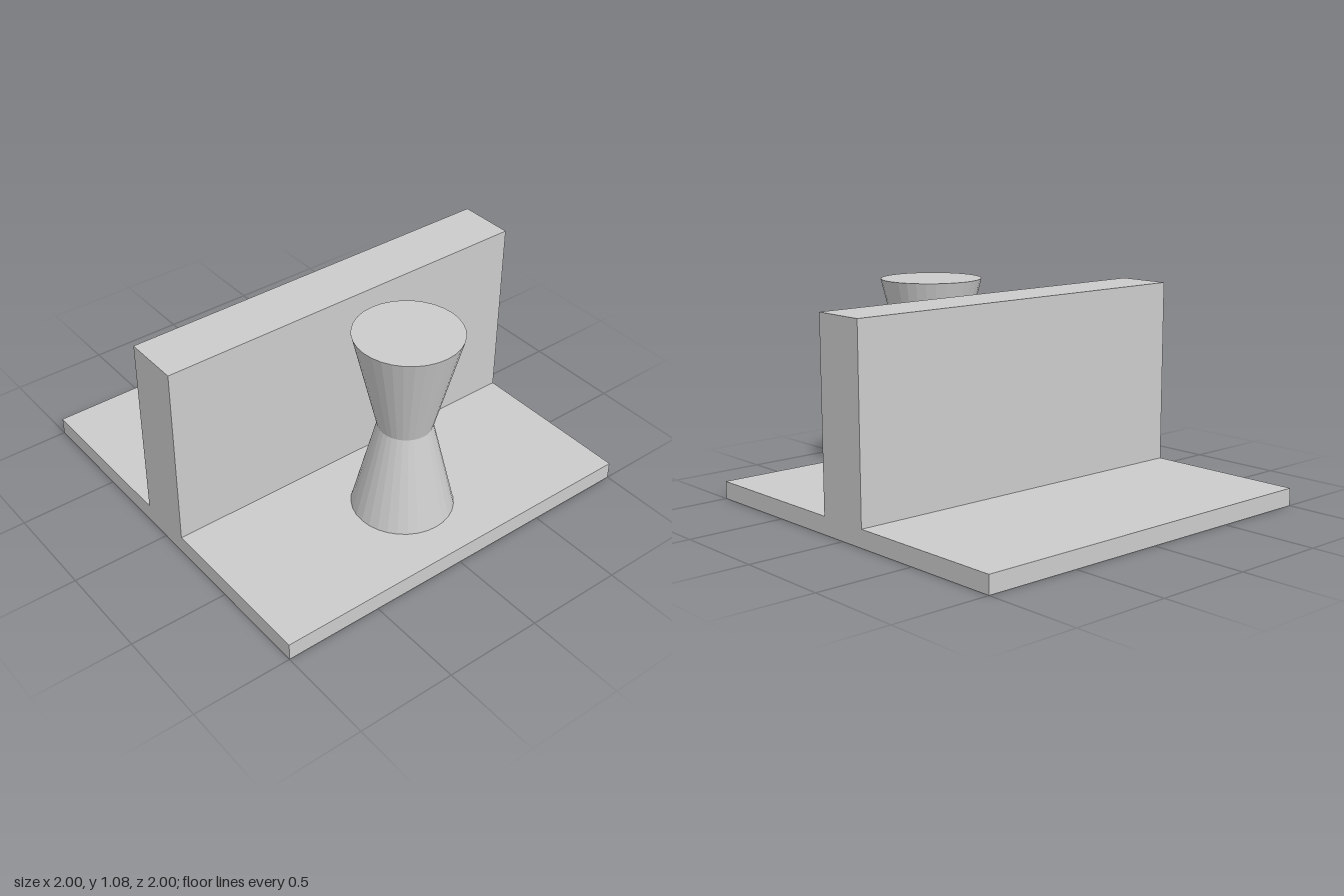
import * as THREE from 'three';

const material = new THREE.MeshStandardMaterial({ color: 0xcccccc, flatShading: true });

function addPart(group, name, geometry, x, y, z) {
  const mesh = new THREE.Mesh(geometry, material);
  mesh.name = name;
  mesh.position.set(x, y, z);
  group.add(mesh);
}

export function createModel() {
  const model = new THREE.Group();
  model.name = 'walledBaseWithPedestal';

  const baseTop = 0.09, wallTop = 1.04;

  // Square base slab
  addPart(model, 'base', new THREE.BoxGeometry(2, baseTop, 2), 0, baseTop / 2, 0);

  // Upright wall across the middle
  const wallHeight = wallTop - baseTop;
  addPart(model, 'wall', new THREE.BoxGeometry(2, wallHeight, 0.285), 0, baseTop + wallHeight / 2, 0);

  // Hourglass pedestal: faceted, with a narrow waist and a closed top
  const profile = [
    [0, baseTop], [0.25, baseTop], [0.133, 0.567], [0.26, 1.08], [0, 1.08],
  ].map(([r, y]) => new THREE.Vector2(r, y));
  addPart(model, 'pedestal', new THREE.LatheGeometry(profile, 32), 0, 0, 0.57);

  return model;
}
